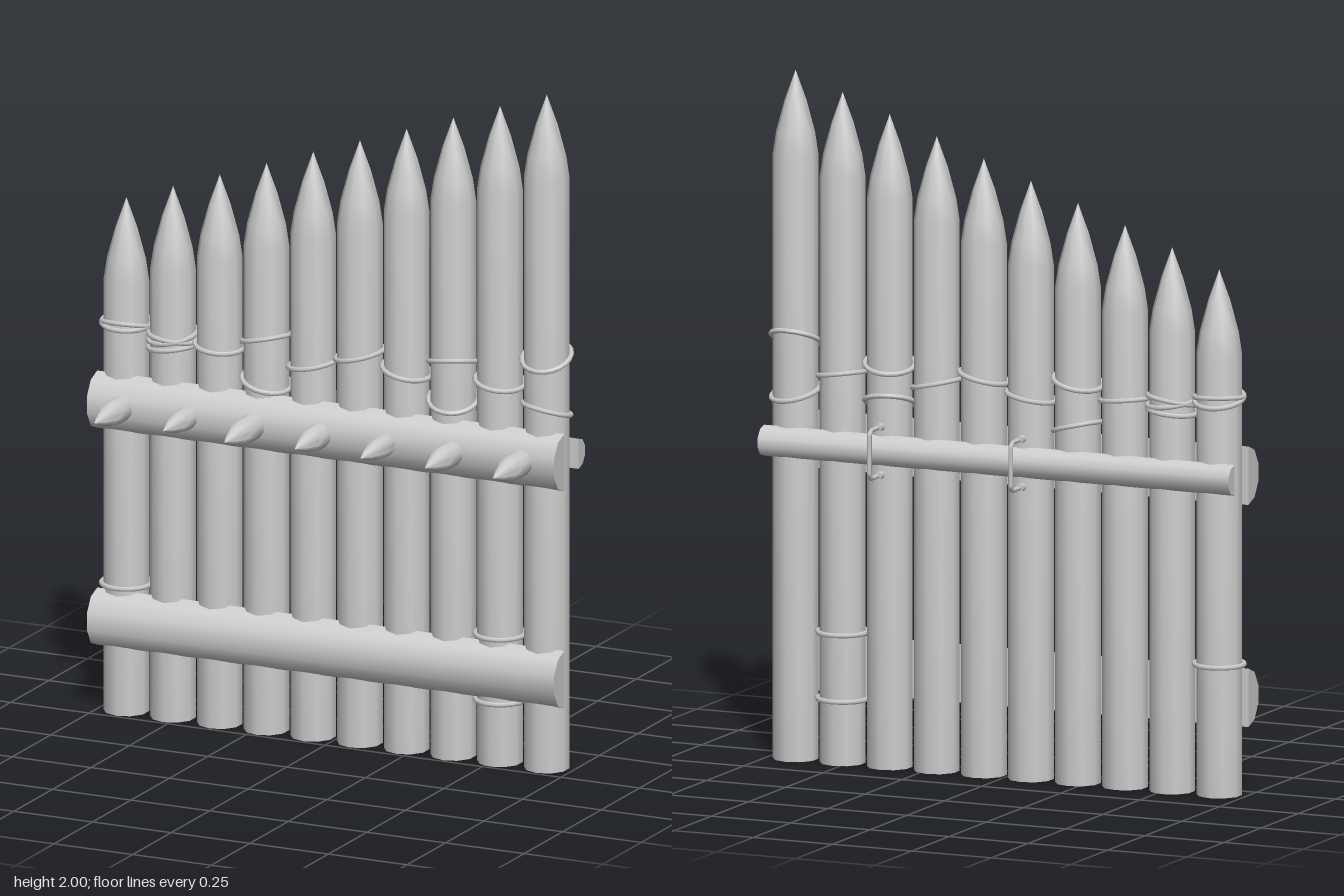
import * as THREE from 'three';
import { toCreasedNormals } from 'three/addons/utils/BufferGeometryUtils.js';

const POST_Z = -0.075, POST_R = 0.066, SPACING = 0.1485, POSTS = 10;
const postX = (i) => (i - (POSTS - 1) / 2) * SPACING;

export function createModel() {
  const model = new THREE.Group();
  const material = new THREE.MeshStandardMaterial({ color: 0xcccccc });
  const add = (name, geometry, x, y, z) => {
    const mesh = new THREE.Mesh(geometry, material);
    mesh.name = name;
    mesh.position.set(x, y, z);
    model.add(mesh);
    return mesh;
  };

  // Round stake with a slightly bulging pointed tip
  const stake = (radius, height, tip, sides) => {
    const b = height - tip;
    const profile = [[0, 0], [1, 0], [1, b], [0.85, b + tip * 0.27], [0.48, b + tip * 0.64], [0, height]]
      .map(([r, y]) => new THREE.Vector2(r * radius, y));
    return toCreasedNormals(new THREE.LatheGeometry(profile, sides), 0.9);
  };

  // Split log along x, flat side at z = 0 and bulging to z = depth
  const splitLog = (halfHeight, depth) => {
    const points = [];
    for (let i = 0; i <= 5; i++) {
      const a = (i / 5 - 0.5) * Math.PI;
      points.push(new THREE.Vector2(Math.cos(a) * depth, Math.sin(a) * halfHeight));
    }
    const g = new THREE.ExtrudeGeometry(new THREE.Shape(points), { depth: 1.485, bevelEnabled: false });
    g.translate(0, 0, -0.7425).rotateY(-Math.PI / 2);
    return toCreasedNormals(g, 0.8);
  };

  // Posts rising from left to right of the front view
  for (let i = 0; i < POSTS; i++) {
    add('post', stake(POST_R, 1.525 + i * 0.0528, 0.245, 10), postX(i), 0, POST_Z);
  }

  // Rails
  add('upperRail', splitLog(0.085, 0.07), 0, 0.925, -0.037);
  add('lowerRail', splitLog(0.085, 0.07), 0, 0.28, -0.037);
  add('backRail', splitLog(0.045, 0.044), 0, 0.927, -0.13).rotation.y = Math.PI;

  // Spikes on the upper rail: x, radius, tip z
  [[-0.636, 0.037, 0.2], [-0.425, 0.033, 0.185], [-0.217, 0.038, 0.212], [-0.005, 0.037, 0.187],
    [0.205, 0.032, 0.19], [0.415, 0.037, 0.198], [0.635, 0.038, 0.207]].forEach(([x, r, tip]) => {
    add('spike', stake(r, tip + 0.02, 0.12, 10), x, 0.927, -0.02).rotation.x = Math.PI / 2;
  });

  // Rope rings: post index, height, tilt about x, tilt about z
  const ring = new THREE.TorusGeometry(0.072, 0.0075, 6, 20).rotateX(Math.PI / 2);
  [[0, 1.155, 0.1, -0.05], [0, 1.15, -0.25, 0], [0, 0.38, 0, 0],
    [1, 1.135, 0.15, 0.15], [1, 1.105, 0, 0.12], [1, 1.13, -0.1, -0.12],
    [2, 1.125, 0.08, -0.1],
    [3, 1.165, -0.12, 0.22], [3, 1.035, 0.12, -0.25],
    [4, 1.11, 0.05, 0.18], [5, 1.155, 0.05, 0.22], [6, 1.125, 0.05, -0.22],
    [7, 1.17, -0.25, 0.12], [7, 1.06, 0.38, -0.1],
    [8, 1.13, 0.1, -0.15], [8, 0.38, 0, 0], [8, 0.187, 0, 0],
    [9, 1.222, 0.43, 0], [9, 1.066, -0.25, -0.15]].forEach(([i, y, rx, rz]) => {
    add('ropeRing', ring, postX(i), y, POST_Z).rotation.set(rx, 0, rz);
  });

  // Handles on the back, with small feet against the posts
  const corners = [[-0.13, 0.07], [-0.205, 0.07], [-0.217, 0.058], [-0.217, -0.058], [-0.205, -0.07], [-0.13, -0.07]]
    .map(([z, y]) => new THREE.Vector3(0, y, z));
  const path = new THREE.CurvePath();
  for (let i = 1; i < corners.length; i++) path.add(new THREE.LineCurve3(corners[i - 1], corners[i]));
  const bar = new THREE.TubeGeometry(path, 40, 0.007, 6);
  const foot = new THREE.CylinderGeometry(0.012, 0.012, 0.03, 8).rotateX(Math.PI / 2);
  for (const x of [-0.077, 0.369]) {
    add('handle', bar, x, 0.927, 0);
    for (const s of [-1, 1]) add('handleFoot', foot, x, 0.927 + s * 0.07, -0.145);
  }

  return model;
}
